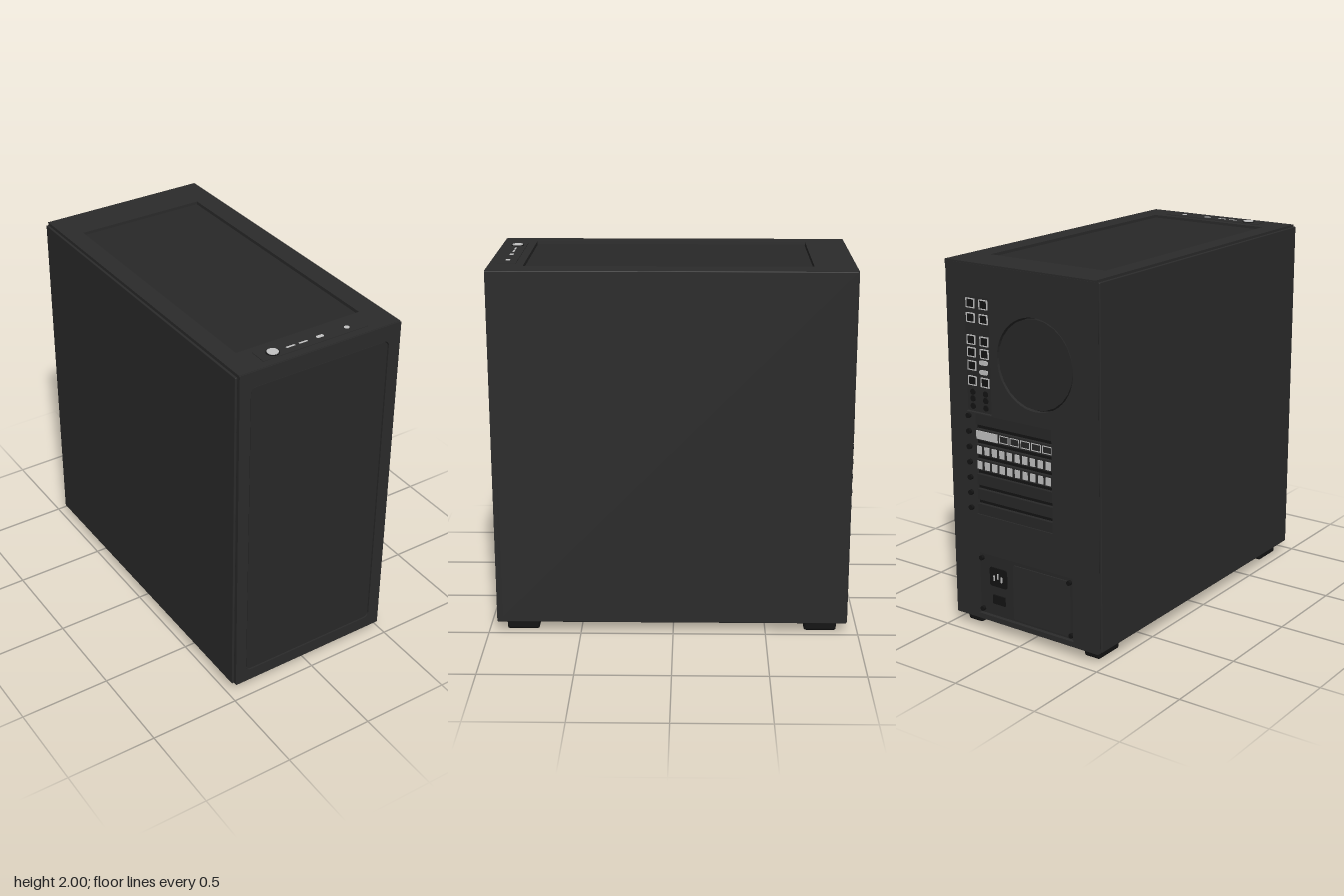
import * as THREE from 'three';
import { RoundedBoxGeometry } from 'three/addons/geometries/RoundedBoxGeometry.js';

const mat = (name, color) => {
  const m = new THREE.MeshStandardMaterial({ color });
  m.name = name;
  return m;
};

// Rounded rectangle outline given by its limits
function rect(x0, y0, x1, y1, r = 0, Type = THREE.Shape) {
  const s = new Type();
  if (!r) {
    s.moveTo(x0, y0); s.lineTo(x1, y0); s.lineTo(x1, y1); s.lineTo(x0, y1); s.closePath();
    return s;
  }
  s.absarc(x1 - r, y0 + r, r, -Math.PI / 2, 0);
  s.absarc(x1 - r, y1 - r, r, 0, Math.PI / 2);
  s.absarc(x0 + r, y1 - r, r, Math.PI / 2, Math.PI);
  s.absarc(x0 + r, y0 + r, r, Math.PI, Math.PI * 1.5);
  s.closePath();
  return s;
}

export function createModel() {
  const model = new THREE.Group();
  model.name = 'computerCase';
  const body = mat('charcoal', 0x2b2b2b);
  const panel = mat('panelGrey', 0x282828);
  const black = mat('black', 0x141414);
  const silver = mat('silver', 0xc4c4c4);

  const add = (parent, name, geo, material, x = 0, y = 0, z = 0) => {
    const m = new THREE.Mesh(geo, material);
    m.name = name;
    m.position.set(x, y, z);
    parent.add(m);
    return m;
  };
  const box = (parent, name, material, x, y, z, w, h, d) =>
    add(parent, name, new THREE.BoxGeometry(w, h, d), material, x, y, z);
  // Extruded plate standing on z0 and reaching z1
  const plate = (parent, name, material, shape, z0, z1) =>
    add(parent, name, new THREE.ExtrudeGeometry(shape, { depth: z1 - z0, bevelEnabled: false, curveSegments: 24 }), material, 0, 0, z0);
  const disc = (parent, name, material, x, y, z, r, d) => {
    const g = new THREE.CylinderGeometry(r, r, d, 24);
    g.rotateX(Math.PI / 2);
    return add(parent, name, g, material, x, y, z);
  };

  // Chassis core
  box(model, 'chassis', black, 0.005, 1.015, 0.008, 0.93, 1.91, 1.84);
  box(model, 'floor', body, 0.007, 0.067, 0.006, 0.936, 0.022, 1.88);

  // Side panels, the one at -x standing off on clips
  add(model, 'leftPanel', new RoundedBoxGeometry(0.02, 1.932, 1.892, 2, 0.005), body, 0.47, 1.022, 0.008);
  add(model, 'rightPanel', new RoundedBoxGeometry(0.014, 1.91, 1.875, 2, 0.004), body, -0.477, 1.025, 0.008);
  for (const y of [0.175, 1.87])
    for (const z of [-0.8, 0.85]) box(model, 'panelClip', black, -0.465, y, z, 0.014, 0.1, 0.06);

  // Front frame and inset panel
  const front = new THREE.Group();
  front.name = 'front';
  model.add(front);
  const frontShape = rect(-0.465, 0.058, 0.48, 1.988, 0.006);
  frontShape.holes.push(rect(-0.402, 0.128, 0.412, 1.902, 0.03, THREE.Path));
  plate(front, 'frontFrame', body, frontShape, 0.925, 0.955);
  plate(front, 'frontPanel', panel, rect(-0.397, 0.133, 0.407, 1.897, 0.027), 0.925, 0.951);

  // Top, drawn flat with its local y pointing backward
  const top = new THREE.Group();
  top.name = 'top';
  top.rotation.x = -Math.PI / 2;
  model.add(top);
  const topShape = rect(-0.466, -0.95, 0.478, 0.94);
  topShape.holes.push(rect(-0.366, -0.772, 0.36, 0.722, 0, THREE.Path));
  plate(top, 'topFrame', body, topShape, 1.962, 1.99);
  plate(top, 'topPanel', panel, rect(-0.362, -0.768, 0.356, 0.718), 1.962, 1.976);
  plate(top, 'controlStrip', body, rect(-0.302, -0.908, 0.312, -0.815), 1.985, 1.993);
  disc(top, 'powerButtonRing', black, -0.22, -0.865, 1.993, 0.034, 0.006);
  disc(top, 'powerButton', silver, -0.22, -0.865, 1.995, 0.029, 0.01);
  for (const x of [-0.117, -0.043]) box(top, 'flatPort', silver, x, -0.865, 1.993, 0.05, 0.01, 0.004);
  plate(top, 'smallPort', silver, rect(0.034, -0.875, 0.075, -0.854, 0.008), 1.99, 1.995);
  disc(top, 'audioJack', silver, 0.215, -0.865, 1.993, 0.014, 0.004);

  // Rear, drawn as seen from behind: local x is mirrored, local z points backward
  const rear = new THREE.Group();
  rear.name = 'rear';
  rear.rotation.y = Math.PI;
  model.add(rear);
  const rearShape = rect(-0.474, 0.062, 0.464, 1.982);
  const fanHole = new THREE.Path();
  fanHole.absarc(0.09, 1.52, 0.24, 0, Math.PI * 2);
  rearShape.holes.push(
    fanHole,
    rect(-0.365, 1.21, -0.195, 1.82, 0, THREE.Path),
    rect(-0.315, 0.655, 0.188, 1.225, 0, THREE.Path),
    rect(-0.32, 0.09, 0.31, 0.44, 0, THREE.Path),
  );
  // Portions below overlap nothing: the port bay ends above the slot bay
  rearShape.holes[2] = rect(-0.315, 0.655, 0.188, 1.205, 0, THREE.Path);
  plate(rear, 'rearPlate', body, rearShape, 0.915, 0.942);
  disc(rear, 'fanCover', panel, 0.09, 1.52, 0.925, 0.232, 0.022);

  // Port bay
  plate(rear, 'portShield', panel, rect(-0.362, 1.213, -0.198, 1.817), 0.91, 0.93);
  const port = (x, y, w, h) => {
    const s = rect(x - w / 2, y - h / 2, x + w / 2, y + h / 2);
    const e = 0.005;
    s.holes.push(rect(x - w / 2 + e, y - h / 2 + e, x + w / 2 - e, y + h / 2 - e, 0, THREE.Path));
    plate(rear, 'portRim', silver, s, 0.93, 0.936);
    box(rear, 'portOpening', black, x, y, 0.931, w - 2 * e, h - 2 * e, 0.004);
  };
  for (const y of [1.78, 1.705, 1.59, 1.525, 1.375])
    for (const x of [-0.325, -0.24]) port(x, y, 0.055, 0.05);
  port(-0.325, 1.455, 0.055, 0.05);
  for (const y of [1.478, 1.428])
    plate(rear, 'smallPort', silver, rect(-0.275, y - 0.012, -0.22, y + 0.012, 0.01), 0.93, 0.936);
  for (const y of [1.315, 1.28, 1.24])
    for (const x of [-0.325, -0.24]) disc(rear, 'audioJack', black, x, y, 0.932, 0.016, 0.006);

  // Expansion slots with their screws
  for (let i = 0; i < 7; i++) {
    const y = 1.174 - i * 0.082;
    box(rear, 'slotCover', panel, -0.063, y, 0.925, 0.496, 0.058, 0.02);
    const screw = disc(rear, 'slotScrew', black, -0.345, 1.19 - i * 0.084, 0.948, 0.014, 0.018);
    screw.userData.slot = i;
    if (i === 1) {
      box(rear, 'cardBracket', silver, -0.235, y, 0.937, 0.14, 0.045, 0.006);
      for (let k = 0; k < 5; k++) port(-0.125 + k * 0.07, y, 0.062, 0.042);
    } else if (i === 2 || i === 3) {
      for (let k = 0; k < 10; k++)
        box(rear, 'cardVent', silver, -0.288 + k * 0.05, y, 0.937, 0.031, 0.042, 0.006);
    }
  }

  // Power supply with socket, switch and cover
  plate(rear, 'powerSupply', panel, rect(-0.314, 0.096, 0.304, 0.434), 0.905, 0.93);
  plate(rear, 'powerSupplyCover', body, rect(-0.085, 0.11, 0.285, 0.415, 0.01), 0.93, 0.937);
  plate(rear, 'powerSocket', black, rect(-0.245, 0.265, -0.13, 0.37, 0.012), 0.93, 0.936);
  for (const [x, y] of [[-0.213, 0.312], [-0.188, 0.326], [-0.163, 0.312]])
    box(rear, 'socketPin', silver, x, y, 0.938, 0.008, 0.03, 0.006);
  plate(rear, 'powerSwitch', black, rect(-0.225, 0.165, -0.145, 0.215), 0.93, 0.938);
  for (const [x, y] of [[-0.295, 0.41], [0.285, 0.41], [-0.295, 0.12], [0.295, 0.12]])
    disc(rear, 'supplyScrew', black, x, y, 0.938, 0.013, 0.018);

  // Feet
  for (const x of [-0.385, 0.4])
    for (const z of [-0.798, 0.817])
      add(model, 'foot', new RoundedBoxGeometry(0.098, 0.062, 0.176, 3, 0.014), black, x, 0.031, z);

  return model;
}
